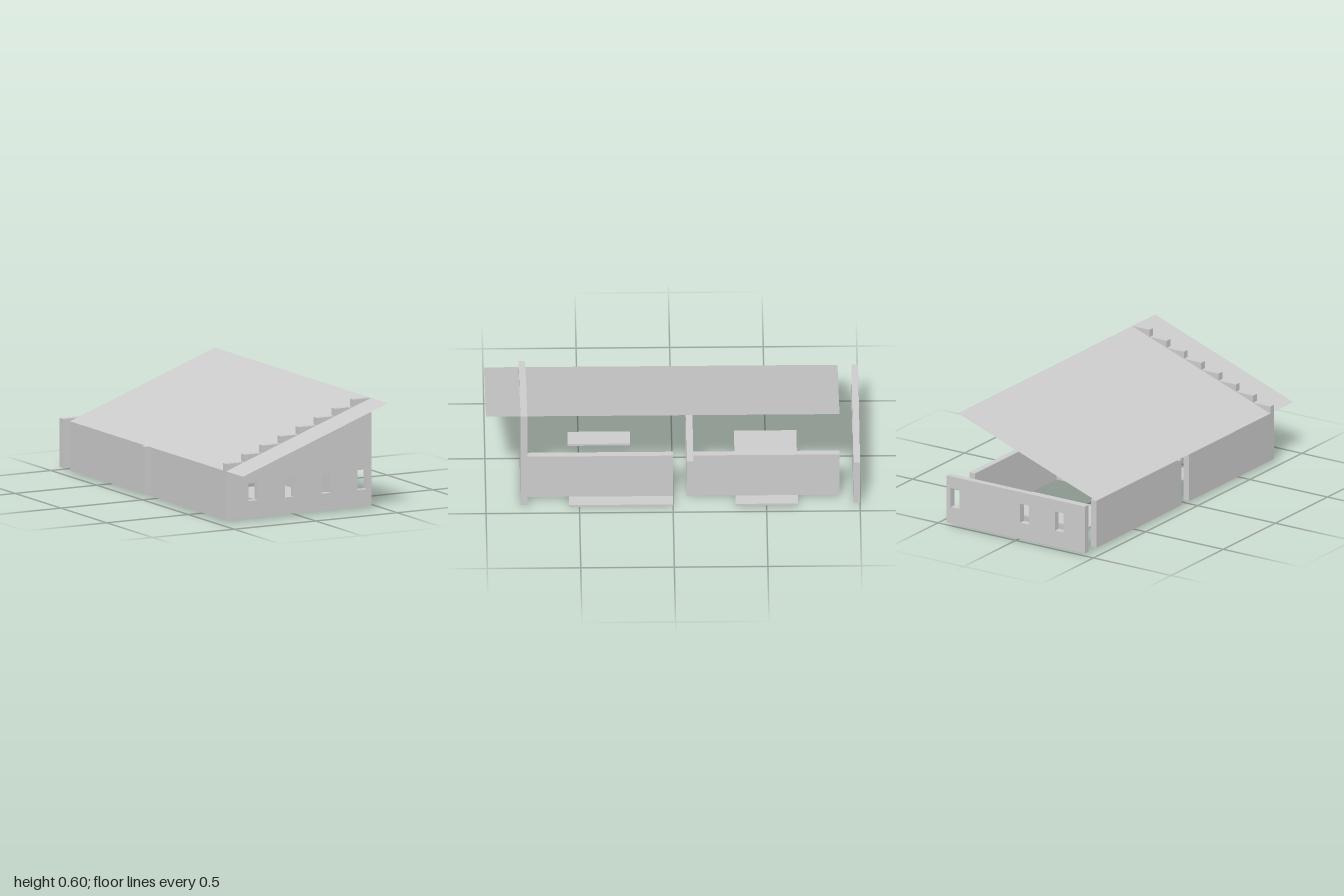
import * as THREE from 'three';

const W = 0.445;          // half width of the house
const M = W / 4;          // planning module, an eighth of the width
const T = 0.036;          // wall thickness
const BASE = 0.014;       // underside of the walls
const TOP = 0.28;         // eaves height
const mat = new THREE.MeshStandardMaterial({ color: 0xcccccc, flatShading: true });
const roofMat = new THREE.MeshStandardMaterial({ color: 0xcccccc, flatShading: true, side: THREE.DoubleSide });

export function createModel() {
  const group = new THREE.Group();

  const add = (name, geometry, material = mat) => {
    const mesh = new THREE.Mesh(geometry, material);
    mesh.name = name;
    group.add(mesh);
    return mesh;
  };

  // box given by its limits on each axis
  const block = (name, x0, x1, y0, y1, z0, z1) =>
    add(name, new THREE.BoxGeometry(x1 - x0, y1 - y0, z1 - z0))
      .position.set((x0 + x1) / 2, (y0 + y1) / 2, (z0 + z1) / 2);

  // gable wall: outline with window holes, extruded along z
  const windowWall = (name, outline, windowXs, z0) => {
    const shape = new THREE.Shape(outline.map(([x, y]) => new THREE.Vector2(x, y)));
    for (const x of windowXs) {
      const a = x - 0.0285, b = x + 0.0285, lo = 0.106, hi = 0.214;
      shape.holes.push(new THREE.Path([
        new THREE.Vector2(a, lo), new THREE.Vector2(a, hi),
        new THREE.Vector2(b, hi), new THREE.Vector2(b, lo),
      ]));
    }
    add(name, new THREE.ExtrudeGeometry(shape, { depth: T, bevelEnabled: false })).position.z = z0;
  };

  // front wall with a stepped top following the roof
  const stepped = [[-W, BASE], [W, BASE]];
  for (let i = 7; i >= 0; i--) {
    const y = 0.32 + 0.04 * i;
    stepped.push([-W + M * (i + 1), y], [-W + M * i, y]);
  }
  windowWall('frontWall', stepped, [-0.28, -0.057, 0.167, 0.39], 0.779);

  // low back wall, standing free of the side walls
  windowWall('backWall', [[-W, BASE], [W, BASE], [W, TOP], [-W, TOP]], [-0.28, -0.057, 0.39], -1);

  // side walls, split by a narrow gap behind the middle
  const crossBack = -0.109, crossFront = crossBack + T;
  block('leftWallFront', 0.335, 0.371, BASE, TOP, 0, 0.779);
  block('leftWallBack', 0.335, 0.371, BASE, TOP, -0.89, crossBack);
  block('rightWallFront', -W, -W + T, BASE, TOP, 0, 0.779);
  block('rightWallBack', -W, -W + T, BASE, TOP, -0.89, crossBack);

  // cross wall in three pieces with doorways between, and its lintel
  for (const [x0, x1] of [[-W, -3 * M], [-2 * M, 0], [M, 0.371]])
    block('crossWall', x0, x1, BASE, 0.271, crossBack, crossFront);
  block('lintelBeam', -0.4, W, 0.271, 0.294, crossBack, crossFront);

  // thin floor slabs
  block('floorSlabFront', 0, W, 0, 0.012, 0, 5 * M);
  block('floorSlabSmall', -2 * M, -M, 0, 0.012, 2 * M, 5 * M);
  block('floorSlabBack', -2 * M, W, 0, 0.012, -6 * M, -3 * M);

  // single-pitch roof sheet, rising towards the left side
  const roof = new THREE.PlaneGeometry(2 * W, 1.89).rotateX(-Math.PI / 2);
  const p = roof.attributes.position;
  for (let i = 0; i < p.count; i++) p.setY(i, 0.44 + 0.16 * p.getX(i) / W);
  roof.translate(0, 0, 0.055);
  roof.computeVertexNormals();
  add('roof', roof, roofMat);

  return group;
}
